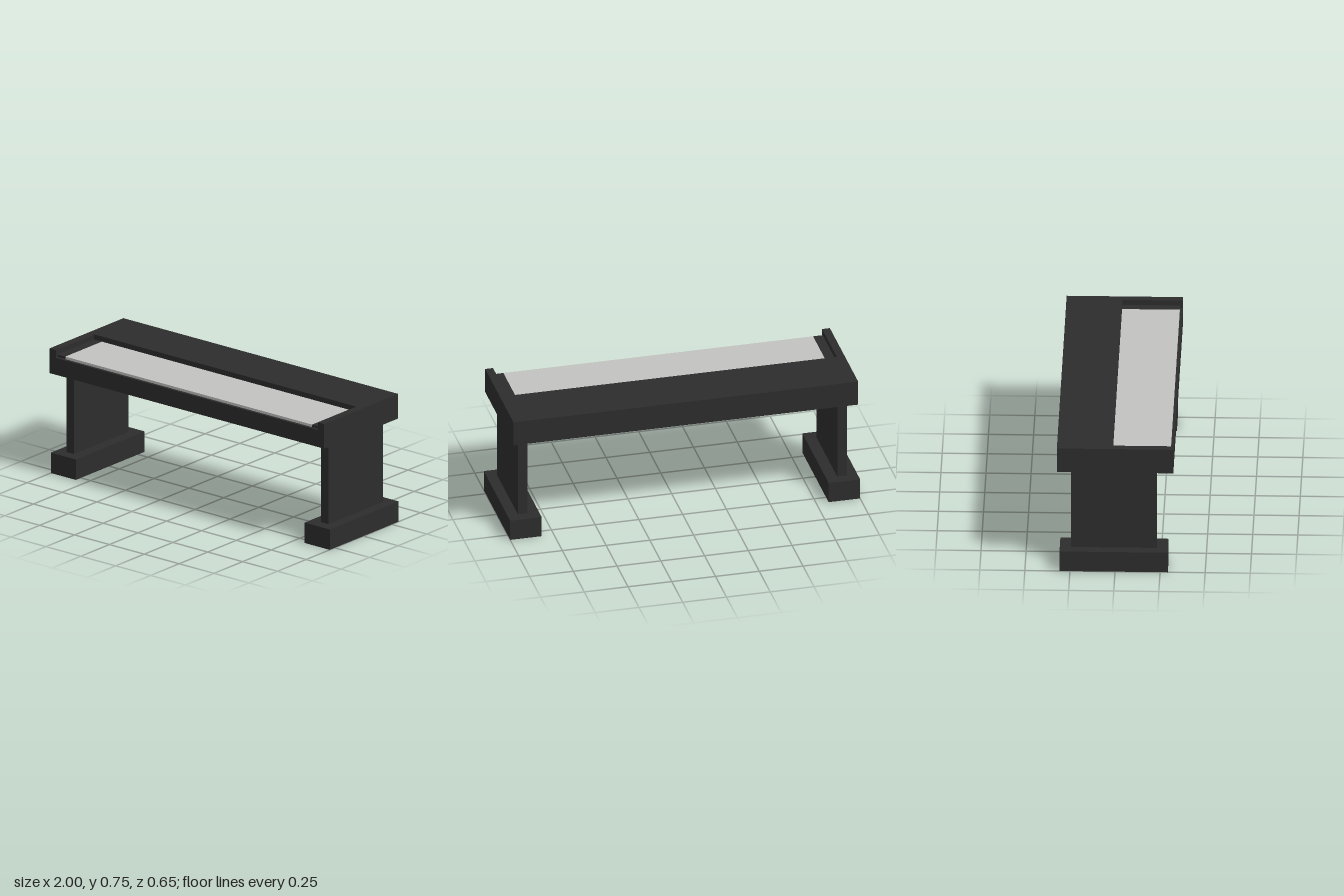
import * as THREE from 'three';

export function createModel() {
  const group = new THREE.Group();
  const charcoal = new THREE.MeshStandardMaterial({ color: 0x2d2d2d });
  charcoal.name = 'charcoal';
  const paleGrey = new THREE.MeshStandardMaterial({ color: 0xc2c2c0 });
  paleGrey.name = 'paleGrey';

  // Box given by its lower and upper corners
  function box(name, material, [x0, y0, z0], [x1, y1, z1]) {
    const mesh = new THREE.Mesh(new THREE.BoxGeometry(x1 - x0, y1 - y0, z1 - z0), material);
    mesh.position.set((x0 + x1) / 2, (y0 + y1) / 2, (z0 + z1) / 2);
    mesh.name = name;
    group.add(mesh);
    return mesh;
  }

  // Case: base slab, raised rear deck
  box('caseBase', charcoal, [-0.985, 0.6, -0.323], [0.985, 0.7, 0.323]);
  box('rearDeck', charcoal, [-0.985, 0.7, -0.323], [0.985, 0.745, -0.013]);

  // Pale panel lying in the recess
  box('keyPanel', paleGrey, [-0.885, 0.7, -0.013], [0.885, 0.715, 0.307]);

  // Mirrored side parts
  for (const side of [-1, 1]) {
    const prefix = side > 0 ? 'left' : 'right';
    const pair = (name, inner, outer, y0, y1, z0, z1) =>
      box(prefix + name, charcoal,
        [Math.min(side * inner, side * outer), y0, z0],
        [Math.max(side * inner, side * outer), y1, z1]);
    pair('Arm', 0.94, 0.985, 0.7, 0.745, -0.013, 0.323);
    pair('EndBlock', 0.885, 0.94, 0.7, 0.715, -0.013, 0.307);
    pair('Leg', 0.885, 0.94, 0.12, 0.6, -0.245, 0.23);
    pair('Foot', 0.82, 1, 0, 0.12, -0.308, 0.293);
  }

  return group;
}
